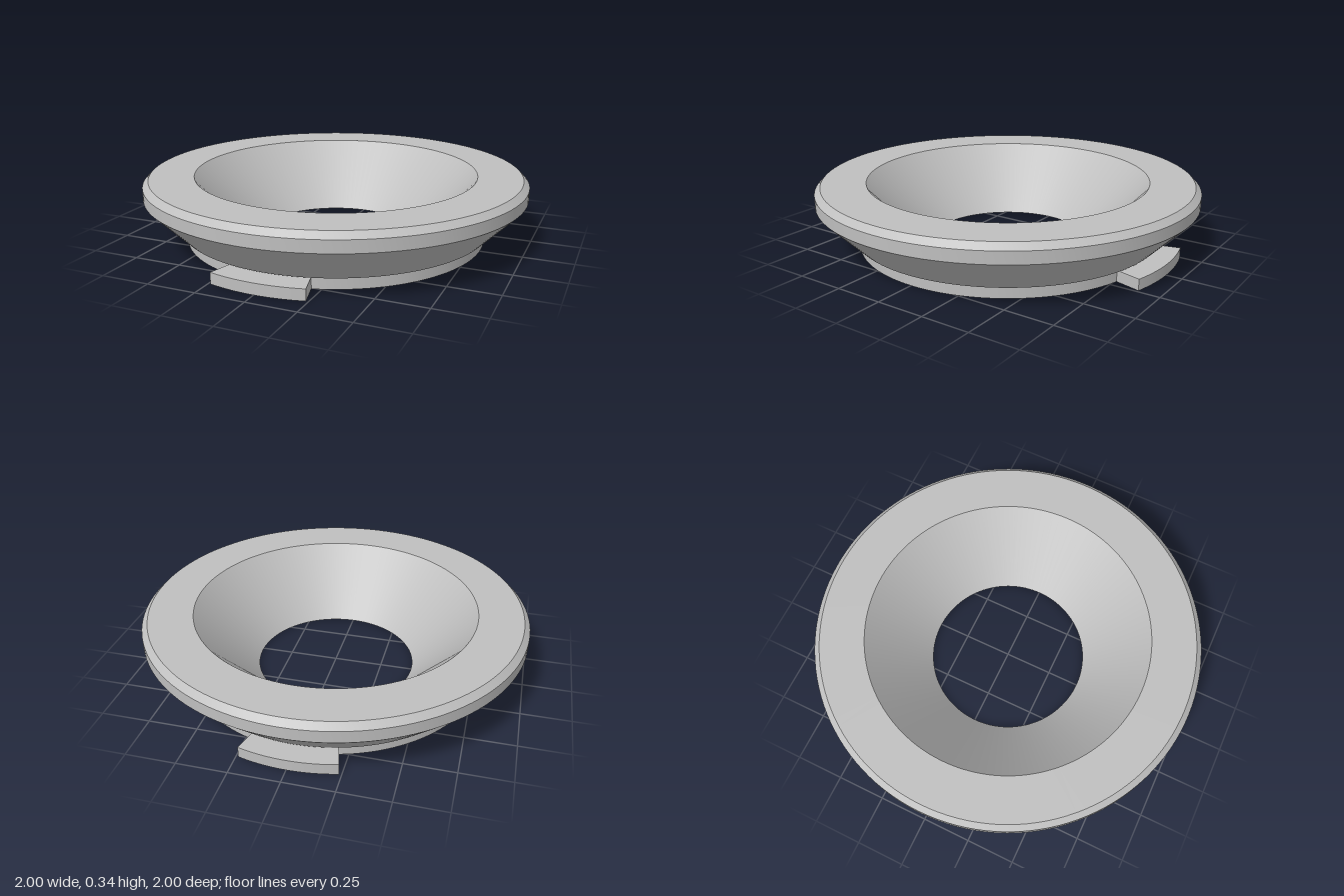
import * as THREE from 'three';
import { toCreasedNormals } from 'three/addons/utils/BufferGeometryUtils.js';

export function createModel() {
  const group = new THREE.Group();
  const grey = new THREE.MeshStandardMaterial({ color: 0xbfbfbf });
  grey.name = 'plain grey';

  // Flanged ring: closed cross-section revolved around y, with a conical bore
  const profile = [
    [0.415, 0], [0.787, 0], [0.787, 0.066], [0.817, 0.066], [1, 0.25],
    [1, 0.311], [0.97, 0.341], [0.74, 0.341], [0.415, 0],
  ].map(([r, y]) => new THREE.Vector2(r, y));
  const ring = new THREE.Mesh(
    toCreasedNormals(new THREE.LatheGeometry(profile, 128), Math.PI / 9), grey);
  ring.name = 'funnelRing';
  group.add(ring);

  // Locking tabs: 30 degree arc blocks with radial ends, front and back
  const half = Math.PI / 12;
  const tabShape = new THREE.Shape();
  tabShape.absarc(0, 0, 0.92, -Math.PI / 2 - half, -Math.PI / 2 + half, false);
  tabShape.absarc(0, 0, 0.77, -Math.PI / 2 + half, -Math.PI / 2 - half, true);
  const tabGeometry = toCreasedNormals(
    new THREE.ExtrudeGeometry(tabShape, { depth: 0.057, bevelEnabled: false, curveSegments: 16 })
      .rotateX(-Math.PI / 2), Math.PI / 9);
  ['frontTab', 'backTab'].forEach((name, i) => {
    const tab = new THREE.Mesh(tabGeometry, grey);
    tab.name = name;
    tab.rotation.y = i * Math.PI;
    group.add(tab);
  });

  return group;
}
